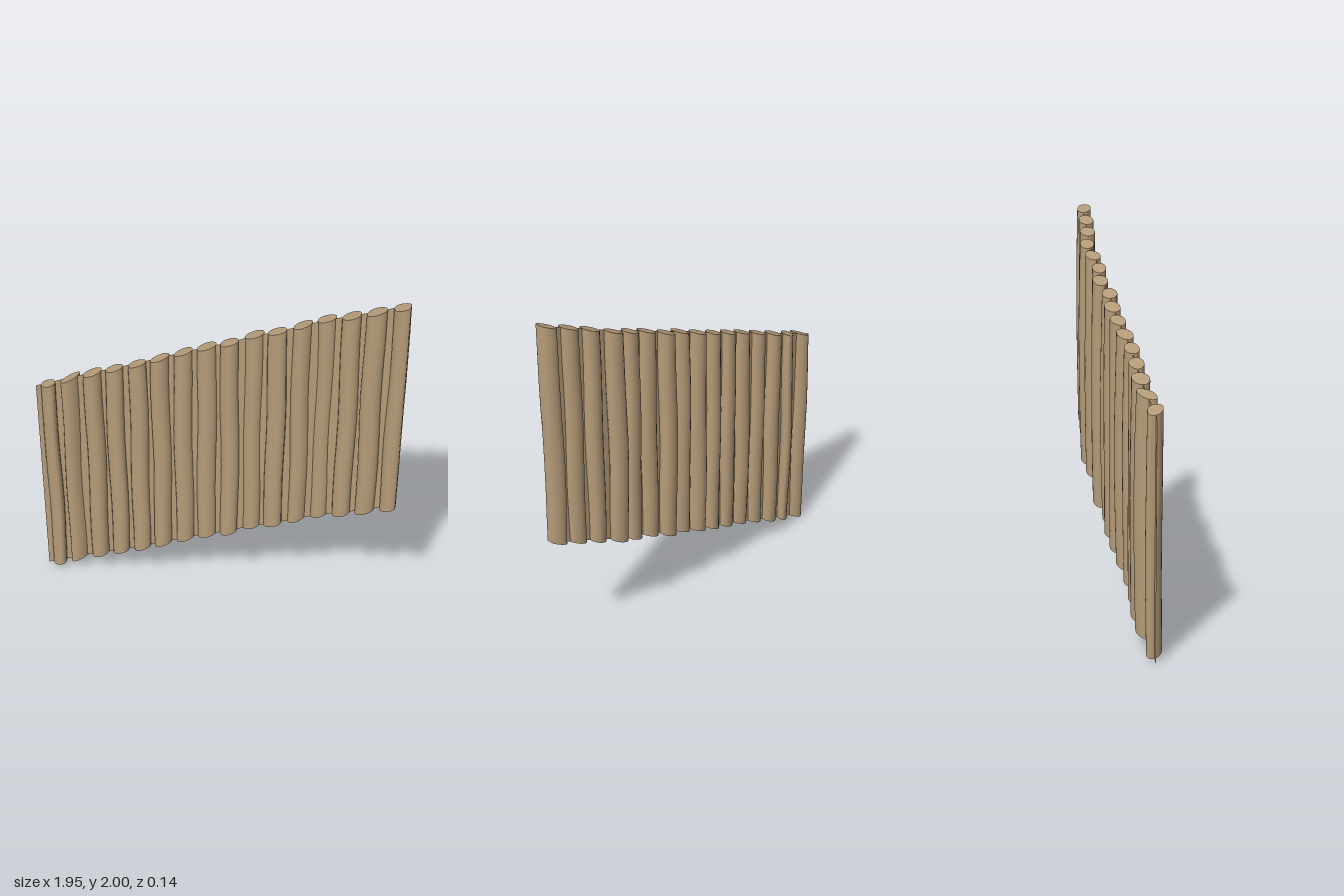
import * as THREE from 'three';

const wood = new THREE.MeshStandardMaterial({ color: 0xb59c79 });
wood.name = 'weathered tan wood';
const woodSheet = wood.clone();
woodSheet.side = THREE.DoubleSide;

const SLOPE = 0.406, BASE = 0.396, HEIGHT = 1.21, LEVELS = 8, SIDES = 18;
const LEFT_CUT = -0.945, RIGHT_CUT = 0.97;

// centre x, centre z, half width, half depth, turn about y
const POLES = [
  [-0.903, 0.017, 0.051, 0.034, 0.75],
  [-0.783, 0.004, 0.056, 0.033, -0.8],
  [-0.660, 0.001, 0.050, 0.045, -0.2],
  [-0.537, 0.007, 0.048, 0.039, 0.2],
  [-0.413, 0.010, 0.048, 0.039, 0.1],
  [-0.293, 0.001, 0.050, 0.040, -0.4],
  [-0.170, -0.009, 0.048, 0.039, -0.3],
  [-0.049, -0.013, 0.050, 0.042, 0.0],
  [0.072, -0.003, 0.049, 0.040, 0.4],
  [0.195, -0.028, 0.050, 0.041, 0.1],
  [0.315, -0.010, 0.050, 0.037, 0.3],
  [0.440, -0.020, 0.047, 0.040, -0.3],
  [0.557, -0.030, 0.049, 0.038, 0.3],
  [0.683, -0.003, 0.048, 0.041, 0.3],
  [0.805, 0.012, 0.050, 0.041, 0.1],
  [0.930, 0.024, 0.049, 0.036, 0.55],
];

// heights follow the slope of the stairs
const slopedY = (x, t) => BASE + SLOPE * x + HEIGHT * t;

function makeGeometry(positions, indices) {
  const g = new THREE.BufferGeometry();
  g.setAttribute('position', new THREE.Float32BufferAttribute(positions, 3));
  g.setIndex(indices);
  g.computeVertexNormals();
  return g;
}

// one point on the gently crooked surface of a pole
function polePoint([cx, cz, rx, rz, turn], k, t, a) {
  const bend = Math.sin(Math.PI * t);
  const swell = 1 + 0.04 * bend + 0.03 * Math.sin(3 * a + k * 1.9) * (1 - 0.4 * t);
  const u = rx * swell * Math.cos(a), v = rz * swell * Math.sin(a);
  const x = cx + u * Math.cos(turn) - v * Math.sin(turn)
    + 0.006 * bend * Math.sin(6 * t + k * 2.3);
  const z = cz + u * Math.sin(turn) + v * Math.cos(turn)
    - 0.005 * bend * (1 + Math.sin(k * 1.7));
  const px = THREE.MathUtils.clamp(x, LEFT_CUT, RIGHT_CUT);
  return [px, slopedY(px, t), z];
}

function poleSide(pole, k) {
  const pos = [], idx = [];
  for (let i = 0; i <= LEVELS; i++)
    for (let j = 0; j < SIDES; j++)
      pos.push(...polePoint(pole, k, i / LEVELS, (j / SIDES) * Math.PI * 2));
  for (let i = 0; i < LEVELS; i++)
    for (let j = 0; j < SIDES; j++) {
      const n = (j + 1) % SIDES;
      const a = i * SIDES + j, b = i * SIDES + n;
      const c = a + SIDES, d = b + SIDES;
      idx.push(a, c, b, b, c, d);
    }
  return makeGeometry(pos, idx);
}

function poleCap(pole, k, t) {
  const pos = [pole[0], slopedY(pole[0], t), pole[1]], idx = [];
  for (let j = 0; j < SIDES; j++) {
    pos.push(...polePoint(pole, k, t, (j / SIDES) * Math.PI * 2));
    const a = j + 1, b = ((j + 1) % SIDES) + 1;
    if (t > 0.5) idx.push(0, b, a);
    else idx.push(0, a, b);
  }
  return makeGeometry(pos, idx);
}

// thin sheet that closes the gaps between poles
function backingSheet() {
  const line = [[-0.975, 0.01], ...POLES.map(([x, z]) => [x, z * 0.6])];
  const pos = [], idx = [];
  line.forEach(([x, z], i) => {
    pos.push(x, slopedY(x, 0), z, x, slopedY(x, 1), z);
    if (i) {
      const a = 2 * i - 2;
      idx.push(a, a + 2, a + 1, a + 1, a + 2, a + 3);
    }
  });
  return makeGeometry(pos, idx);
}

export function createModel() {
  const model = new THREE.Group();
  model.name = 'slopedPoleWall';
  const add = (parent, geometry, material, name) => {
    const mesh = new THREE.Mesh(geometry, material);
    mesh.name = name;
    parent.add(mesh);
  };
  POLES.forEach((pole, k) => {
    const group = new THREE.Group();
    group.name = `pole${k + 1}`;
    add(group, poleSide(pole, k), wood, 'poleSide');
    add(group, poleCap(pole, k, 1), wood, 'poleTop');
    add(group, poleCap(pole, k, 0), wood, 'poleBottom');
    model.add(group);
  });
  add(model, backingSheet(), woodSheet, 'backingSheet');
  return model;
}
